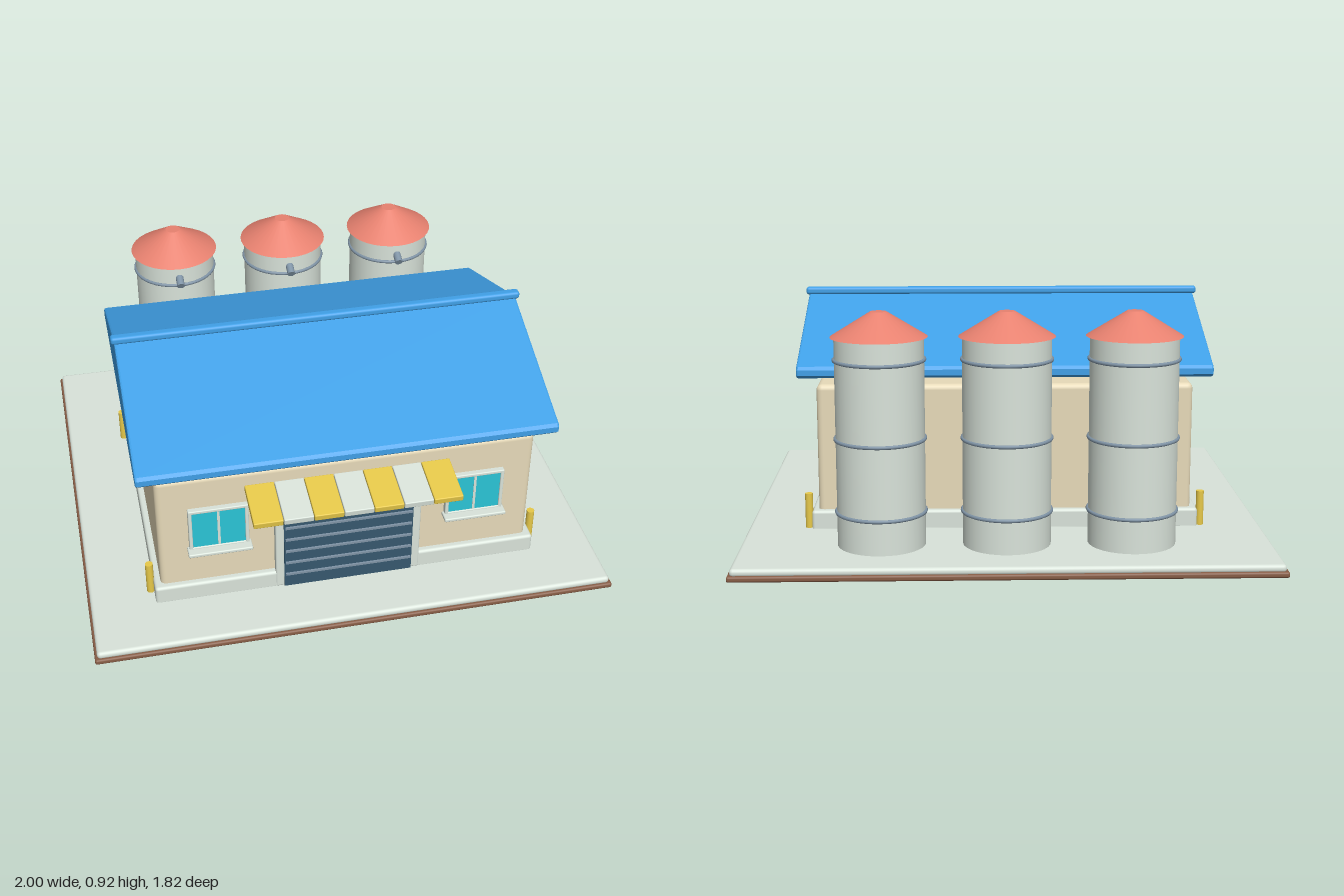
import * as THREE from 'three';
import { RoundedBoxGeometry } from 'three/addons/geometries/RoundedBoxGeometry.js';

const paint = (name, color) => {
  const m = new THREE.MeshStandardMaterial({ color });
  m.name = name;
  return m;
};

export function createModel() {
  const model = new THREE.Group();
  model.name = 'warehouse';

  const soil = paint('brown soil', 0x875d46);
  const concrete = paint('pale concrete', 0xd9e3da);
  const wall = paint('beige wall', 0xe7dab9);
  const blue = paint('blue roof', 0x42a5ee);
  const coral = paint('coral cap', 0xec8472);
  const navy = paint('navy shutter', 0x36586e);
  const steel = paint('steel', 0x8094a6);
  const glass = paint('teal glass', 0x2ac4d6);
  const yellow = paint('yellow', 0xe8ca4a);

  const add = (name, geometry, material, x = 0, y = 0, z = 0, parent = model) => {
    const mesh = new THREE.Mesh(geometry, material);
    mesh.name = name;
    mesh.position.set(x, y, z);
    parent.add(mesh);
    return mesh;
  };
  const group = (name, x = 0, y = 0, z = 0) => {
    const g = new THREE.Group();
    g.name = name;
    g.position.set(x, y, z);
    model.add(g);
    return g;
  };
  const rounded = (w, h, d, r) => new RoundedBoxGeometry(w, h, d, 3, r);
  const box = (w, h, d) => new THREE.BoxGeometry(w, h, d);

  // Ground slab
  add('soilBase', rounded(2, 0.022, 1.824, 0.008), soil, 0, 0.011, 0);
  add('concretePad', rounded(1.982, 0.03, 1.806, 0.014), concrete, 0, 0.031, 0);

  // Building body and plinth
  add('walls', rounded(1.44, 0.565, 1.034, 0.022), wall, 0, 0.3225, 0.139);
  add('plinth', rounded(1.49, 0.08, 1.084, 0.012), concrete, 0, 0.076, 0.139);

  // Gable roof: profile across the depth, extruded along x
  const bevel = 0.008;
  const half = [[0.567, 0.641], [0.577, 0.651], [0.577, 0.673], [0.567, 0.685]];
  const outline = [...half, [0, 0.892], ...half.map(([a, y]) => [-a, y]).reverse()];
  const profile = new THREE.Shape(outline.map(([a, y]) => new THREE.Vector2(a, y)));
  const roof = new THREE.ExtrudeGeometry(profile, {
    depth: 1.576 - 2 * bevel, bevelThickness: bevel, bevelSize: bevel, bevelOffset: -bevel, bevelSegments: 2,
  });
  roof.translate(0, 0, -0.788 + bevel);
  roof.rotateY(Math.PI / 2);
  add('roof', roof, blue, 0, 0, 0.14);
  add('ridgeCap', rounded(1.6, 0.03, 0.038, 0.011), blue, 0, 0.9, 0.14);

  // Shutter door with frame and slats
  const door = group('shutterDoor');
  for (const s of [-1, 1]) {
    add('doorJamb', rounded(0.034, 0.435, 0.035, 0.007), concrete, s * 0.265, 0.2625, 0.666, door);
  }
  add('doorLintel', rounded(0.564, 0.028, 0.035, 0.007), concrete, 0, 0.466, 0.666, door);
  add('shutter', box(0.5, 0.412, 0.04), navy, 0, 0.252, 0.668, door);
  for (let i = 0; i < 6; i++) {
    add('slat', box(0.49, 0.009, 0.01), steel, 0, 0.108 + i * 0.0575, 0.69, door);
  }

  // Striped awning sloping outward
  const awning = group('awning', 0, 0.518, 0.75);
  awning.rotation.x = 0.13;
  const stripe = 0.78 / 7;
  for (let i = 0; i < 7; i++) {
    add('awningStripe', rounded(stripe - 0.002, 0.026, 0.196, 0.004),
      i % 2 ? concrete : yellow, (i - 3) * stripe, 0, 0, awning);
  }

  // Windows either side of the door
  for (const s of [-1, 1]) {
    const win = group(s > 0 ? 'leftWindow' : 'rightWindow', s * 0.492, 0.373, 0.66);
    add('glass', box(0.2, 0.164, 0.024), glass, 0, 0, 0, win);
    for (const e of [-1, 1]) {
      add('frameSide', rounded(0.014, 0.188, 0.03, 0.004), concrete, e * 0.106, 0, 0.002, win);
      add('frameRail', rounded(0.224, 0.014, 0.03, 0.004), concrete, 0, e * 0.087, 0.002, win);
    }
    add('mullion', box(0.01, 0.164, 0.028), concrete, 0, 0, 0, win);
    add('sill', rounded(0.242, 0.015, 0.054, 0.005), concrete, 0, -0.093, 0.023, win);
  }

  // Corner bollards
  for (const x of [-0.757, 0.757]) {
    for (const z of [0.605, -0.378]) {
      add('bollard', new THREE.CylinderGeometry(0.015, 0.015, 0.137, 16), yellow, x, 0.1125, z);
    }
  }

  // Silos behind the building
  for (const x of [-0.465, 0, 0.465]) {
    const silo = group('silo', x, 0, -0.61);
    add('siloBody', new THREE.CylinderGeometry(0.164, 0.164, 0.78, 32), concrete, 0, 0.44, 0, silo);
    add('siloCap', new THREE.CylinderGeometry(0.03, 0.178, 0.092, 32), coral, 0, 0.874, 0, silo);
    for (const y of [0.178, 0.452, 0.745]) {
      const band = add('siloBand', new THREE.TorusGeometry(0.165, 0.007, 8, 40), steel, 0, y, 0, silo);
      band.rotation.x = Math.PI / 2;
    }
    const chute = add('chute', new THREE.CylinderGeometry(0.016, 0.016, 0.08, 14), steel, 0, 0.777, 0.162, silo);
    chute.rotation.x = Math.PI / 2 + 0.45;
  }

  return model;
}
